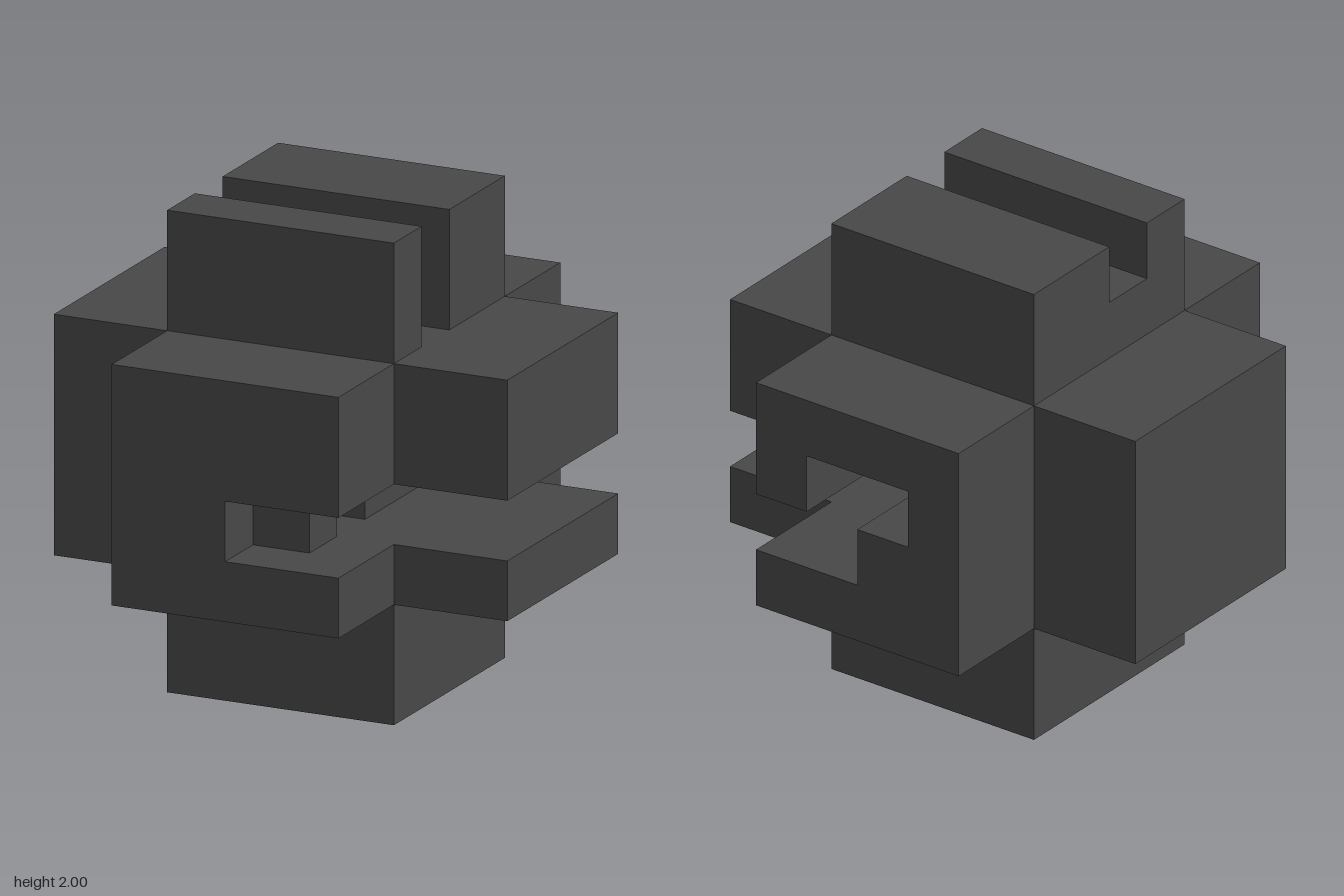
import * as THREE from 'three';
import { mergeVertices } from 'three/addons/utils/BufferGeometryUtils.js';

const N = 8, S = 0.25; // 8 x 8 x 8 cells of 0.25

// Boxes are [x0, x1, y0, y1, z0, z1] in model units
const arms = [
  [-1, 1, 0.5, 1.5, -0.5, 0.5],   // side to side
  [-0.5, 0.5, 0, 2, -0.5, 0.5],   // upright
  [-0.5, 0.5, 0.5, 1.5, -1, 1],   // front to back
];
const channels = [
  [0.25, 1, 0.75, 1, -1, 1],        // main slot, open on the +x half
  [0, 0.25, 0.75, 1, 0.75, 1],      // front end of the slot
  [0, 0.25, 0.75, 1, 0.25, 0.5],    // side notch
  [0, 0.25, 0.75, 1, -1, -0.25],    // back end of the slot
  [-0.25, 0.25, 1, 1.25, -1, -0.25], // raised step at the back
  [-0.5, 0.5, 1.75, 2, 0, 0.25],    // groove across the top
  [0, 0.5, 1.5, 1.75, 0, 0.25],     // deeper end of the groove
  [0, 0.25, 1, 1.5, 0, 0.25],       // shaft under the groove
];

const inside = (p, b) => p.every((v, i) => v > b[2 * i] && v < b[2 * i + 1]);

function isSolid(c) {
  const p = [(c[0] + 0.5) * S - 1, (c[1] + 0.5) * S, (c[2] + 0.5) * S - 1];
  return arms.some(b => inside(p, b)) && !channels.some(b => inside(p, b));
}

// Keep only the faces between solid and empty cells
function carvedGeometry() {
  const pos = [], nor = [];
  const addFace = (cell, axis, sign) => {
    const u = (axis + 1) % 3, v = (axis + 2) % 3;
    const corner = (du, dv) => {
      const p = [...cell];
      if (sign > 0) p[axis]++;
      p[u] += du;
      p[v] += dv;
      return [p[0] * S - 1, p[1] * S, p[2] * S - 1];
    };
    const q = [corner(0, 0), corner(1, 0), corner(1, 1), corner(0, 1)];
    if (sign < 0) q.reverse();
    const n = [0, 0, 0];
    n[axis] = sign;
    for (const k of [0, 1, 2, 0, 2, 3]) {
      pos.push(...q[k]);
      nor.push(...n);
    }
  };
  for (let x = 0; x < N; x++) for (let y = 0; y < N; y++) for (let z = 0; z < N; z++) {
    const cell = [x, y, z];
    if (!isSolid(cell)) continue;
    for (let axis = 0; axis < 3; axis++) for (const sign of [-1, 1]) {
      const next = [...cell];
      next[axis] += sign;
      if (!isSolid(next)) addFace(cell, axis, sign);
    }
  }
  const g = new THREE.BufferGeometry();
  g.setAttribute('position', new THREE.Float32BufferAttribute(pos, 3));
  g.setAttribute('normal', new THREE.Float32BufferAttribute(nor, 3));
  return mergeVertices(g);
}

export function createModel() {
  const group = new THREE.Group();
  group.name = 'carvedCrossBlock';
  const darkGrey = new THREE.MeshStandardMaterial({ color: 0x484848 });
  darkGrey.name = 'dark grey';
  const body = new THREE.Mesh(carvedGeometry(), darkGrey);
  body.name = 'crossBody';
  group.add(body);
  return group;
}
